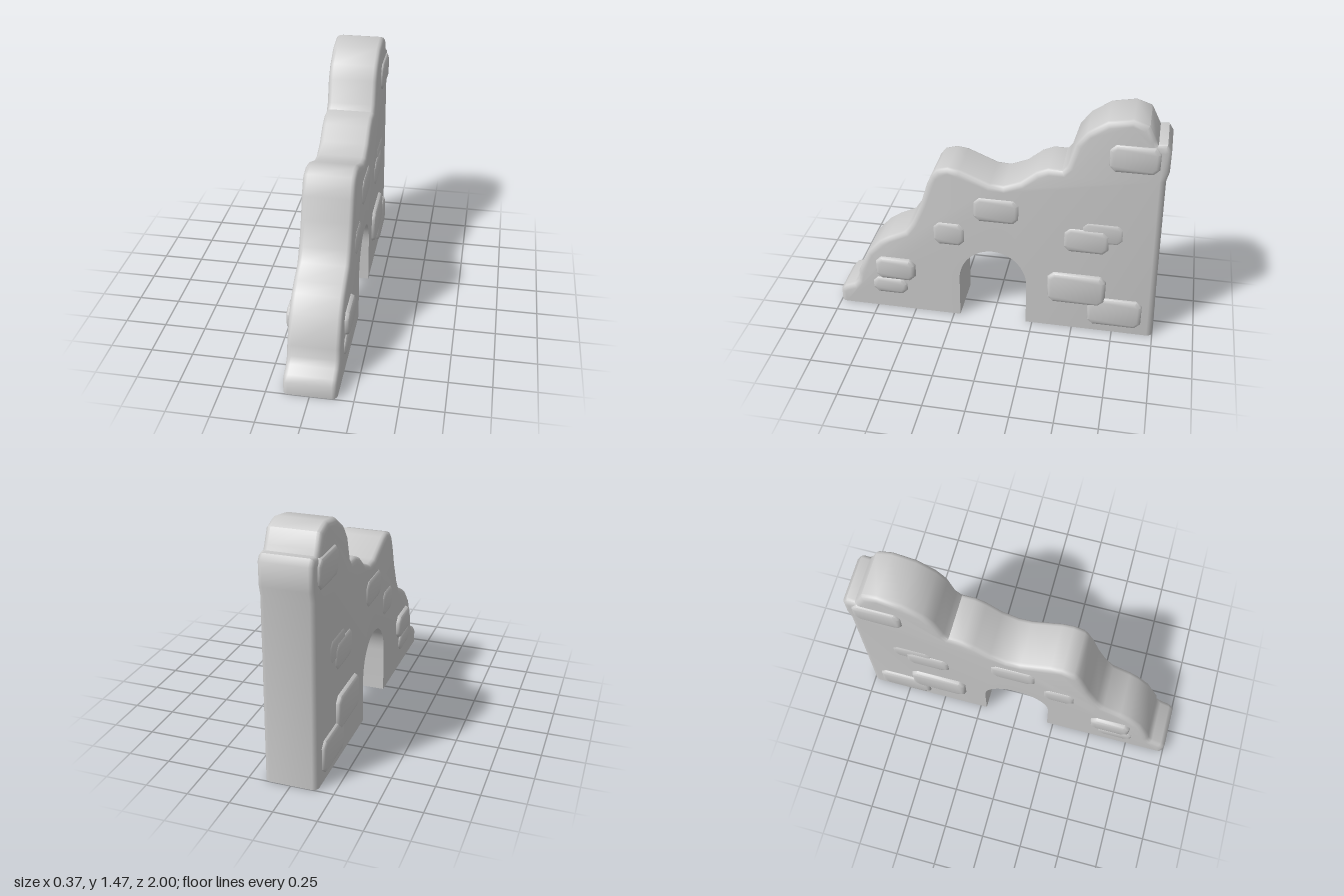
import * as THREE from 'three';
import { toCreasedNormals } from 'three/addons/utils/BufferGeometryUtils.js';

const BEVEL = 0.035;
const ARCH = { halfWidth: 0.21, spring: 0.28, rise: 0.23 };

// Extrudes a (z, y) shape across x, centred, keeping the outline as its widest section.
function extrudeAcross(shape, width, bevel, thickness, segments) {
  const geo = new THREE.ExtrudeGeometry(shape, {
    depth: width - 2 * thickness, bevelEnabled: true, bevelSize: bevel,
    bevelThickness: thickness, bevelOffset: -bevel, bevelSegments: segments, curveSegments: 12,
  });
  geo.translate(0, 0, -(width - 2 * thickness) / 2);
  geo.rotateY(-Math.PI / 2);
  return geo;
}

// Ruined wall: broken skyline, rounded rim, arched opening with sharp edges
function makeWall() {
  const skyline = [
    [1, -BEVEL], [1, 0.08], [0.97, 0.115], [0.91, 0.14], [0.88, 0.175], [0.87, 0.24],
    [0.8, 0.4], [0.72, 0.49], [0.66, 0.53], [0.55, 0.585], [0.5, 0.66], [0.44, 0.8],
    [0.4, 0.93], [0.37, 1.0], [0.34, 1.04], [0.27, 1.06], [0.2, 1.05], [0.02, 0.975],
    [-0.06, 0.97], [-0.16, 1.01], [-0.25, 1.085], [-0.32, 1.115], [-0.4, 1.115],
    [-0.43, 1.15], [-0.47, 1.29], [-0.53, 1.37], [-0.64, 1.445], [-0.78, 1.47],
    [-0.87, 1.44], [-0.91, 1.36], [-0.925, 1.33], [-0.975, 1.335], [-1, 1.295],
    [-1, 1.16], [-0.985, 1.1], [-1, -BEVEL],
  ];
  const { halfWidth, spring, rise } = ARCH;
  const shape = new THREE.Shape(skyline.map(([z, y]) => new THREE.Vector2(z, y)));
  shape.lineTo(-halfWidth + BEVEL, -BEVEL);
  shape.lineTo(-halfWidth + BEVEL, spring);
  shape.absellipse(0, spring, halfWidth - BEVEL, rise - BEVEL, Math.PI, 0, true);
  shape.lineTo(halfWidth - BEVEL, -BEVEL);
  const geo = extrudeAcross(shape, 0.31, BEVEL, 0.03, 3);

  // Flatten the base and square up the rim inside the arch
  const p = geo.attributes.position;
  for (let i = 0; i < p.count; i++) {
    const y = Math.max(0, p.getY(i));
    const z = p.getZ(i);
    p.setY(i, y);
    if (y <= spring) {
      if (Math.abs(z) < halfWidth + 0.01) p.setZ(i, Math.sign(z) * halfWidth);
    } else {
      const e = Math.hypot(z / halfWidth, (y - spring) / rise);
      if (e < 1.05) {
        p.setZ(i, z / e);
        p.setY(i, spring + (y - spring) / e);
      }
    }
  }
  return toCreasedNormals(geo, 0.8);
}

// Chamfered brick with cut corners, running through the wall
function makeBrick(z0, z1, y0, y1, reach) {
  const c = 0.035;
  const shape = new THREE.Shape([
    [z0 + c, y0], [z1 - c, y0], [z1, y0 + c], [z1, y1 - c],
    [z1 - c, y1], [z0 + c, y1], [z0, y1 - c], [z0, y0 + c],
  ].map(([z, y]) => new THREE.Vector2(z, y)));
  return toCreasedNormals(extrudeAcross(shape, reach * 2, 0.025, 0.025, 2), 0.85);
}

export function createModel() {
  const model = new THREE.Group();
  model.name = 'ruinedArchWall';
  const stone = new THREE.MeshStandardMaterial({ color: 0xcccccc });

  const wall = new THREE.Mesh(makeWall(), stone);
  wall.name = 'wall';
  model.add(wall);

  // Bricks: z range, y range, half length across the wall
  const bricks = new THREE.Group();
  bricks.name = 'bricks';
  [
    [0.49, 0.745, 0.23, 0.385, 0.183],
    [0.545, 0.775, 0.11, 0.23, 0.17],
    [0.17, 0.37, 0.525, 0.69, 0.164],
    [-0.16, 0.12, 0.72, 0.89, 0.166],
    [-0.785, -0.525, 0.64, 0.795, 0.16],
    [-0.7, -0.425, 0.57, 0.74, 0.166],
    [-0.695, -0.34, 0.195, 0.41, 0.181],
    [-0.925, -0.59, 0.05, 0.255, 0.175],
    [-0.95, -0.66, 1.145, 1.32, 0.172],
  ].forEach((spec, i) => {
    const brick = new THREE.Mesh(makeBrick(...spec), stone);
    brick.name = `brick${i + 1}`;
    bricks.add(brick);
  });
  model.add(bricks);
  return model;
}
